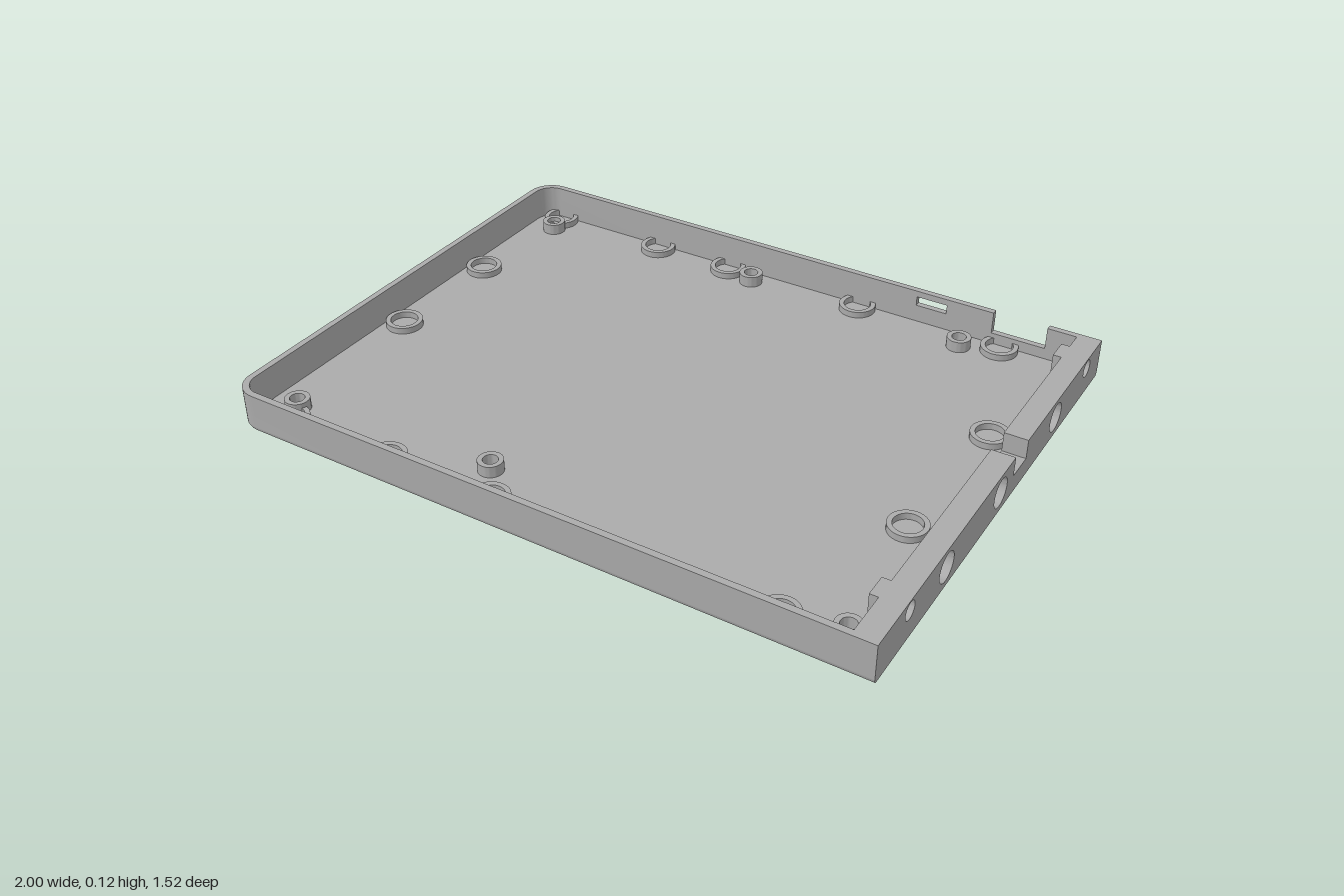
import * as THREE from 'three';
import { mergeGeometries, toCreasedNormals } from 'three/addons/utils/BufferGeometryUtils.js';

const HX = 1, HZ = 0.76, H = 0.12;      // half length, half width, height
const FLOOR = 0.015, WALL = 0.02, END = 0.93, CORNER = 0.08;

const grey = new THREE.MeshStandardMaterial({ color: 0xaaaaaa });
grey.name = 'grey plastic';

function add(group, name, geometry, x = 0, y = 0, z = 0) {
  const mesh = new THREE.Mesh(geometry, grey);
  mesh.name = name;
  mesh.position.set(x, y, z);
  group.add(mesh);
}

function extrude(shape, depth) {
  const g = new THREE.ExtrudeGeometry(shape, { depth, bevelEnabled: false, curveSegments: 20 });
  return toCreasedNormals(g, 0.6);
}

const extrudeUp = (shape, depth) => extrude(shape, depth).rotateX(-Math.PI / 2);
const extrudeX = (shape, depth) => extrude(shape, depth).rotateY(Math.PI / 2);

function polygon(points) {
  return new THREE.Shape(points.map(([x, y]) => new THREE.Vector2(x, y)));
}

function circle(x, y, r) {
  return new THREE.Path().absarc(x, y, r, 0, Math.PI * 2, true);
}

// Quarter arc as points, starting at a given angle
function quarter(cx, cy, r, start) {
  return Array.from({ length: 13 }, (_, i) => {
    const t = start + (i / 12) * Math.PI / 2;
    return [cx + r * Math.cos(t), cy + r * Math.sin(t)];
  });
}

// Rounded -x corners, from the +y side round to the -y side
function roundedEnd(inset) {
  const cx = -HX + CORNER, cy = HZ - CORNER, r = CORNER - inset;
  return [...quarter(cx, cy, r, Math.PI / 2), ...quarter(cx, -cy, r, Math.PI)];
}

// Plan outline, square at the +x end
function outline(inset) {
  return [[HX, -HZ + inset], [HX, HZ - inset], ...roundedEnd(inset)];
}

// Floor plate lofted through inset outlines, giving a softened lower edge
function floorGeometry() {
  const layers = [[0, 0.009], [0.003, 0.003], [0.009, 0], [FLOOR, 0]];
  const rings = layers.map(([y, inset]) => outline(inset).map(([x, v]) => [x, y, -v]));
  const pos = [];
  for (let k = 0; k < rings.length - 1; k++) {
    const a = rings[k], b = rings[k + 1];
    for (let i = 0; i < a.length; i++) {
      const j = (i + 1) % a.length;
      for (const p of [a[i], a[j], b[j], a[i], b[j], b[i]]) pos.push(...p);
    }
  }
  const sides = new THREE.BufferGeometry();
  sides.setAttribute('position', new THREE.Float32BufferAttribute(pos, 3));
  const cap = (inset, y, flip) => {
    const g = new THREE.ShapeGeometry(polygon(outline(inset)));
    g.rotateX(-Math.PI / 2).translate(0, y, 0);
    if (flip) g.index.array.reverse();
    const flat = g.toNonIndexed();
    flat.deleteAttribute('uv');
    flat.deleteAttribute('normal');
    return flat;
  };
  const merged = mergeGeometries([sides, cap(0.009, 0, true), cap(0, FLOOR, false)]);
  return toCreasedNormals(merged, 0.6);
}

// Rim around the front, the rounded end and part of the back
function rimShape(backEnd) {
  return polygon([
    [backEnd, HZ], ...roundedEnd(0), [END, -HZ],
    [END, -HZ + WALL], ...roundedEnd(WALL).reverse(), [backEnd, HZ - WALL],
  ]);
}

// End wall profile with a square notch; horizontal axis is -z
function endWallShape() {
  return polygon([[-HZ, FLOOR], [HZ, FLOOR], [HZ, H], [0.17, H], [0.17, 0.06],
    [0.08, 0.06], [0.08, H], [-HZ, H]]);
}

// Raised ring; a positive cut trims it where it meets the back wall
function ringShape(outer, inner, cut) {
  const s = new THREE.Shape();
  if (!cut) {
    s.absarc(0, 0, outer, 0, Math.PI * 2, false);
    s.holes.push(circle(0, 0, inner));
    return s;
  }
  const a = Math.asin(cut / outer), b = Math.asin(cut / inner);
  s.absarc(0, 0, outer, Math.PI - a, Math.PI * 2 + a, false);
  s.absarc(0, 0, inner, Math.PI * 2 + b, Math.PI - b, true);
  s.closePath();
  return s;
}

export function createModel() {
  const tray = new THREE.Group();
  tray.name = 'tray';

  add(tray, 'floor', floorGeometry());
  const panelStart = 0.3;
  add(tray, 'rim', extrudeUp(rimShape(panelStart), H - FLOOR), 0, FLOOR, 0);

  // Back panel with open notch and small window
  const panel = polygon([[panelStart, FLOOR], [END, FLOOR], [END, H], [0.84, H], [0.84, 0.05],
    [0.67, 0.05], [0.67, H], [panelStart, H]]);
  panel.holes.push(polygon([[0.42, 0.07], [0.42, 0.1], [0.52, 0.1], [0.52, 0.07]]));
  add(tray, 'backPanel', extrude(panel, WALL), 0, 0, -HZ);

  // End wall: bored outer layer over an inner layer that closes the large holes
  const outer = endWallShape(), inner = endWallShape();
  for (const z of [0.36, 0.01, -0.395]) outer.holes.push(circle(-z, 0.062, 0.044));
  for (const z of [0.58, -0.64]) {
    outer.holes.push(circle(-z, 0.088, 0.027));
    inner.holes.push(circle(-z, 0.088, 0.023));
  }
  add(tray, 'endWallOuter', extrudeX(outer, 0.05), 0.95, 0, 0);
  add(tray, 'endWallInner', extrudeX(inner, 0.02), END, 0, 0);

  // Blocks behind the screw holes
  for (const z of [0.575, -0.645]) {
    add(tray, 'screwBlock', new THREE.BoxGeometry(0.025, 0.07, 0.07), 0.9175, 0.085, z);
  }

  // Wide low rings on the floor
  const wide = [[-0.9, -0.71], [-0.505, -0.71], [-0.235, -0.71], [0.235, -0.71], [0.71, -0.71],
    [-0.92, -0.295], [-0.92, 0.11], [0.86, -0.27], [0.835, 0.22],
    [-0.86, 0.685], [-0.505, 0.685], [-0.155, 0.685], [0.71, 0.685]];
  for (const [x, z] of wide) {
    const shape = ringShape(0.057, 0.042, z < -0.7 ? 0.034 : 0);
    add(tray, 'wideRing', extrudeUp(shape, 0.02), x, FLOOR, z);
  }

  // Narrow taller posts
  const posts = [[-0.885, -0.645], [-0.135, -0.685], [0.595, -0.67],
    [-0.885, 0.625], [-0.235, 0.575], [0.88, 0.655]];
  for (const [x, z] of posts) {
    add(tray, 'post', extrudeUp(ringShape(0.037, 0.022, 0), 0.035), x, FLOOR, z);
  }
  return tray;
}
